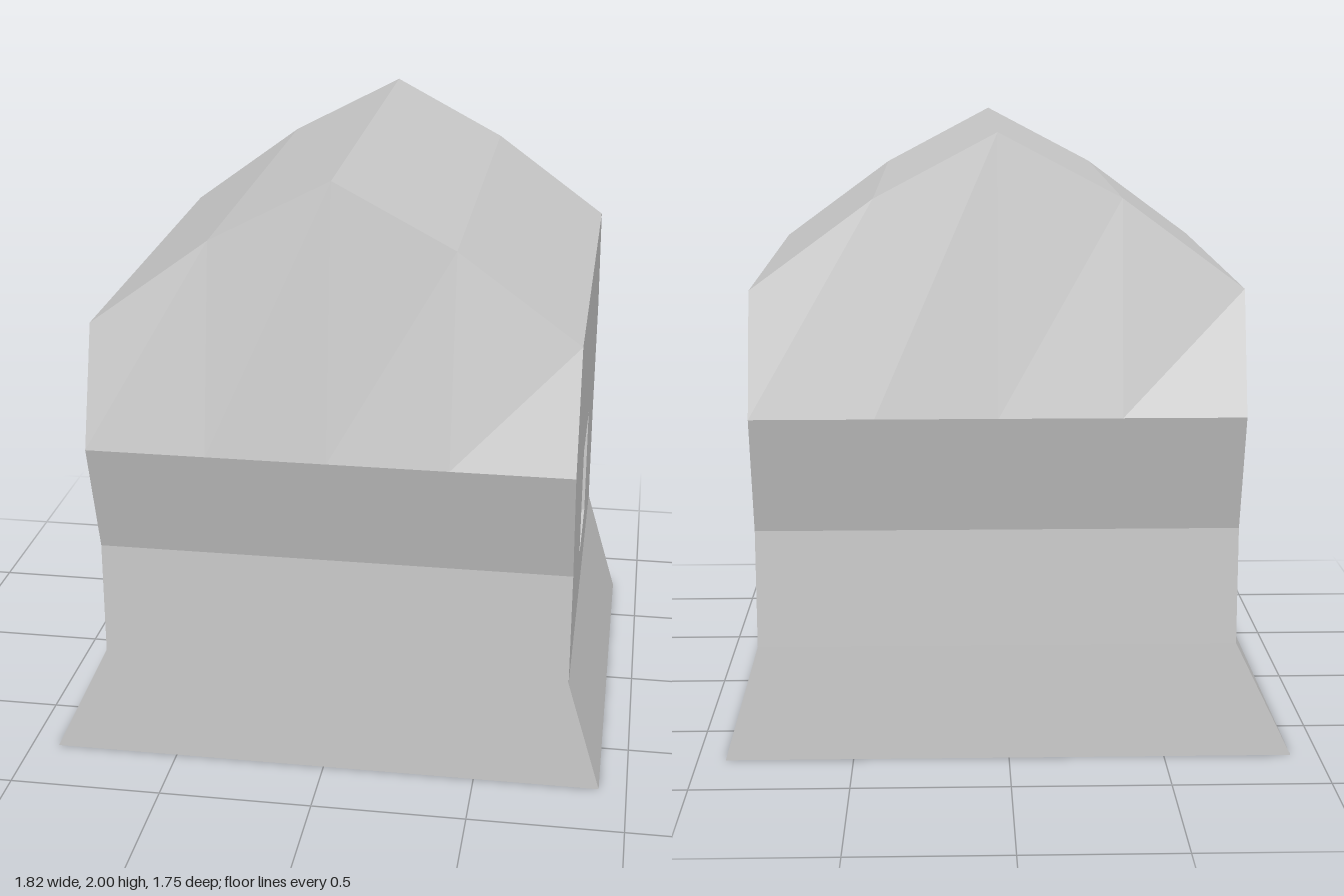
import * as THREE from 'three';

const material = new THREE.MeshStandardMaterial({ color: 0xcccccc, flatShading: true });

// Key sizes: wall planes, base width, depth of walls and of the jettied overhang
const XL = -0.725, XR = 0.798, BASE = 0.91, D = 0.76, OUT = 0.877;
const FLARE = 0.38, JETTY = 0.76, GABLE = 1.14, EAVE = 1.52;
const ROOF = [[XL, EAVE], [-0.345, 1.8], [0.036, 2], [0.415, 1.8], [XR, EAVE]];
const WIN = { z: 0.19, y0: 0.57, y1: 0.95, depth: 0.114 };

// Mesh from four-cornered faces, corners counter-clockwise seen from outside
function quads(name, faces) {
  const pos = [];
  for (const [a, b, c, d] of faces) pos.push(...a, ...b, ...c, ...a, ...c, ...d);
  const geometry = new THREE.BufferGeometry();
  geometry.setAttribute('position', new THREE.Float32BufferAttribute(pos, 3));
  geometry.computeVertexNormals();
  const mesh = new THREE.Mesh(geometry, material);
  mesh.name = name;
  return mesh;
}

// Front (s = 1) or back (s = -1) wall: flared foot, wall, jetty and leaning gable
function endWall(name, s) {
  const rows = [[0, D, -BASE, BASE], [FLARE, D, XL, XR], [JETTY, D, XL, XR], [GABLE, OUT, XL, XR]];
  const faces = [];
  for (let i = 0; i < rows.length - 1; i++) {
    const [y0, z0, l0, r0] = rows[i], [y1, z1, l1, r1] = rows[i + 1];
    faces.push([[l0, y0, s * z0], [r0, y0, s * z0], [r1, y1, s * z1], [l1, y1, s * z1]]);
  }
  for (let i = 0; i < ROOF.length - 1; i++) {
    const [xa, ya] = ROOF[i], [xb, yb] = ROOF[i + 1];
    faces.push([[xa, GABLE, s * OUT], [xb, GABLE, s * OUT], [xb, yb, s * D], [xa, ya, s * D]]);
  }
  return quads(name, s > 0 ? faces : faces.map((f) => f.reverse()));
}

// Flat side wall with the bulging jetty outline, optionally with a window hole
function sideWall(name, x, turn, hasWindow) {
  const half = [[D, FLARE], [D, JETTY], [OUT, GABLE], [D, EAVE]];
  const outline = [...half, ...half.map(([z, y]) => [-z, y]).reverse()];
  const shape = new THREE.Shape(outline.map((p) => new THREE.Vector2(...p)));
  if (hasWindow) {
    const { z, y0, y1 } = WIN;
    shape.holes.push(new THREE.Path([[-z, y0], [-z, y1], [z, y1], [z, y0]].map((p) => new THREE.Vector2(...p))));
  }
  const mesh = new THREE.Mesh(new THREE.ShapeGeometry(shape).rotateY(turn * Math.PI / 2), material);
  mesh.position.x = x;
  mesh.name = name;
  return mesh;
}

// Reveals and back panel of the window niche
function windowNiche() {
  const { z, y0, y1, depth } = WIN;
  const ring = (x) => [[x, y0, z], [x, y0, -z], [x, y1, -z], [x, y1, z]];
  const outer = ring(XR), inner = ring(XR - depth);
  const faces = [inner];
  for (let i = 0; i < 4; i++) {
    const j = (i + 1) % 4;
    faces.push([outer[i], outer[j], inner[j], inner[i]]);
  }
  return quads('windowNiche', faces);
}

export function createModel() {
  const house = new THREE.Group();
  house.name = 'house';

  // Walls
  house.add(endWall('frontWall', 1), endWall('backWall', -1));
  house.add(sideWall('leftWall', XR, 1, true), sideWall('rightWall', XL, -1, false));
  house.add(windowNiche());

  // Flared feet of the side walls
  house.add(quads('leftFoot', [[[BASE, 0, D], [BASE, 0, -D], [XR, FLARE, -D], [XR, FLARE, D]]]));
  house.add(quads('rightFoot', [[[-BASE, 0, -D], [-BASE, 0, D], [XL, FLARE, D], [XL, FLARE, -D]]]));

  // Roof slopes and floor
  const slopes = ROOF.slice(1).map(([xb, yb], i) => {
    const [xa, ya] = ROOF[i];
    return [[xa, ya, D], [xb, yb, D], [xb, yb, -D], [xa, ya, -D]];
  });
  house.add(quads('roof', slopes));
  house.add(quads('floor', [[[-BASE, 0, -D], [BASE, 0, -D], [BASE, 0, D], [-BASE, 0, D]]]));
  return house;
}
